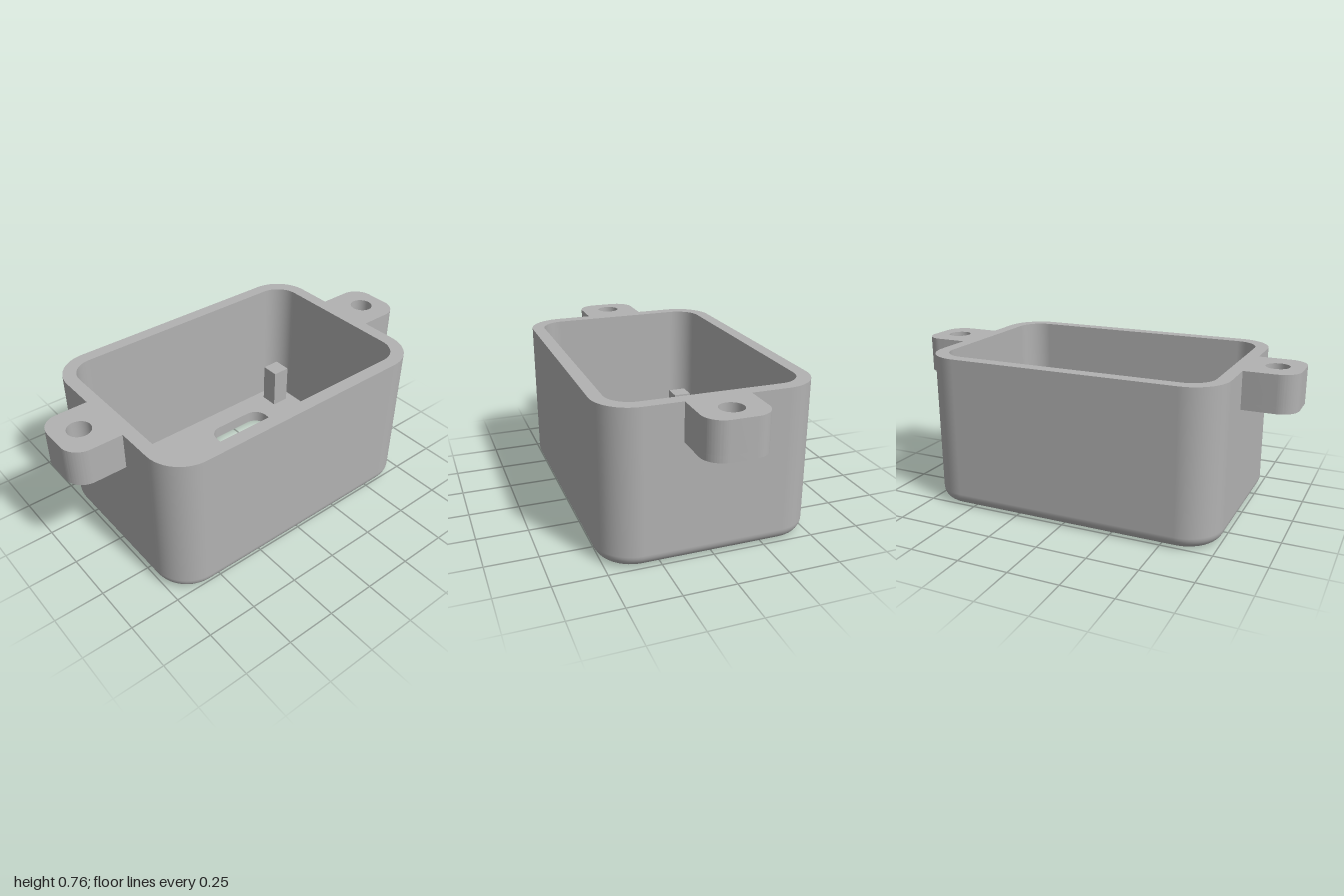
import * as THREE from 'three';
import { toCreasedNormals } from 'three/addons/utils/BufferGeometryUtils.js';

const H = 0.76, FLOOR = 0.065, FILLET = 0.06, SEG = 12;
const OUTER = { x: 0, z: 0, hx: 0.75, hz: 0.516, r: 0.18 };
const INNER = { x: 0, z: 0, hx: 0.685, hz: 0.452, r: 0.12 };
const HOLES = [
  { x: -0.297, z: 0, hx: 0.176, hz: 0.176, r: 0.176 },
  { x: 0.247, z: -0.1695, hx: 0.182, hz: 0.1655, r: 0.075 },
  { x: 0.247, z: 0.1695, hx: 0.182, hz: 0.1655, r: 0.075 },
];

// Rounded-rectangle outline as [x, z, angle], optionally inset
function outline(o, inset = 0) {
  const pts = [];
  const signs = [[1, 1], [-1, 1], [-1, -1], [1, -1]];
  signs.forEach(([sx, sz], q) => {
    for (let i = 0; i <= SEG; i++) {
      const a = (q + i / SEG) * Math.PI / 2;
      pts.push([
        o.x + sx * (o.hx - o.r) + (o.r - inset) * Math.cos(a),
        o.z + sz * (o.hz - o.r) + (o.r - inset) * Math.sin(a), a]);
    }
  });
  return pts;
}

// Wall through rings of { inset, y, tilt }, smooth-shaded; inward walls face the axis
function wall(o, rings, inward = false) {
  const pos = [], nor = [], idx = [];
  const s = inward ? -1 : 1;
  const n = 4 * (SEG + 1);
  rings.forEach(({ inset = 0, y, tilt = 0 }, i) => {
    outline(o, inset).forEach(([x, z, a], j) => {
      pos.push(x, y, z);
      nor.push(s * Math.cos(a) * Math.cos(tilt), -Math.sin(tilt), s * Math.sin(a) * Math.cos(tilt));
      if (i === rings.length - 1) return;
      const k = (j + 1) % n;
      const p = i * n + j, q = i * n + k, u = p + n, v = q + n;
      if (inward) idx.push(p, q, u, q, v, u);
      else idx.push(p, u, q, q, u, v);
    });
  });
  const g = new THREE.BufferGeometry();
  g.setAttribute('position', new THREE.Float32BufferAttribute(pos, 3));
  g.setAttribute('normal', new THREE.Float32BufferAttribute(nor, 3));
  g.setIndex(idx);
  return g;
}

// Flat horizontal face with holes, facing up or down
function face(o, inset, holes, y, up) {
  const s = up ? -1 : 1;
  const to2 = (p) => new THREE.Vector2(p[0], s * p[1]);
  const shape = new THREE.Shape(outline(o, inset).map(to2));
  holes.forEach((h) => shape.holes.push(new THREE.Path(outline(h).map(to2))));
  return new THREE.ShapeGeometry(shape).rotateX(s * Math.PI / 2).translate(0, y, 0);
}

// Mounting ear outline: square at the wall, rounded at the tip
function earShape(withHole) {
  const a = 0.75, b = 1, w = 0.153, r = 0.095;
  const s = new THREE.Shape();
  s.moveTo(a, -w);
  s.lineTo(b - r, -w);
  s.absarc(b - r, -w + r, r, -Math.PI / 2, 0);
  s.lineTo(b, w - r);
  s.absarc(b - r, w - r, r, 0, Math.PI / 2);
  s.lineTo(a, w);
  s.closePath();
  if (withHole) s.holes.push(new THREE.Path().absarc(0.876, 0, 0.057, 0, Math.PI * 2, true));
  return s;
}

function slab(shape, y0, y1) {
  const g = new THREE.ExtrudeGeometry(shape, { depth: y1 - y0, bevelEnabled: false, curveSegments: 16 });
  return toCreasedNormals(g.rotateX(-Math.PI / 2).translate(0, y0, 0), 0.6);
}

export function createModel() {
  const model = new THREE.Group();
  model.name = 'enclosure';
  const grey = new THREE.MeshStandardMaterial({ color: 0xb2b2b2 });
  grey.name = 'grey plastic';
  const add = (name, geometry, parent = model) => {
    const m = new THREE.Mesh(geometry, grey);
    m.name = name;
    parent.add(m);
    return m;
  };

  // Outer skin with a rounded bottom edge
  const rings = [];
  for (let i = 0; i <= 8; i++) {
    const t = (1 - i / 8) * Math.PI / 2;
    rings.push({ inset: FILLET * (1 - Math.cos(t)), y: FILLET * (1 - Math.sin(t)), tilt: t });
  }
  rings.push({ y: H });
  add('outerWall', wall(OUTER, rings));
  add('underside', face(OUTER, FILLET, HOLES, 0, false));

  // Rim, cavity and floor
  add('rim', face(OUTER, 0, [INNER], H, true));
  add('innerWall', wall(INNER, [{ y: FLOOR }, { y: H }], true));
  add('floor', face(INNER, 0, HOLES, FLOOR, true));

  // Edges of the round opening and the two windows
  HOLES.forEach((h, i) => add(i ? 'windowEdge' : 'roundOpeningEdge', wall(h, [{ y: 0 }, { y: FLOOR }], true)));

  // Square posts in the corners
  for (const sx of [-1, 1]) for (const sz of [-1, 1]) {
    const top = 0.285;
    add('cornerPost', new THREE.BoxGeometry(0.097, top - FLOOR, 0.097))
      .position.set(sx * 0.587, (top + FLOOR) / 2, sz * 0.355);
  }

  // Mounting ears with blind screw holes
  for (const side of [0, 1]) {
    const ear = new THREE.Group();
    ear.name = side ? 'rightEar' : 'leftEar';
    ear.rotation.y = side * Math.PI;
    add('earBase', slab(earShape(false), 0.577, 0.61), ear);
    add('earTop', slab(earShape(true), 0.61, H), ear);
    model.add(ear);
  }
  return model;
}
